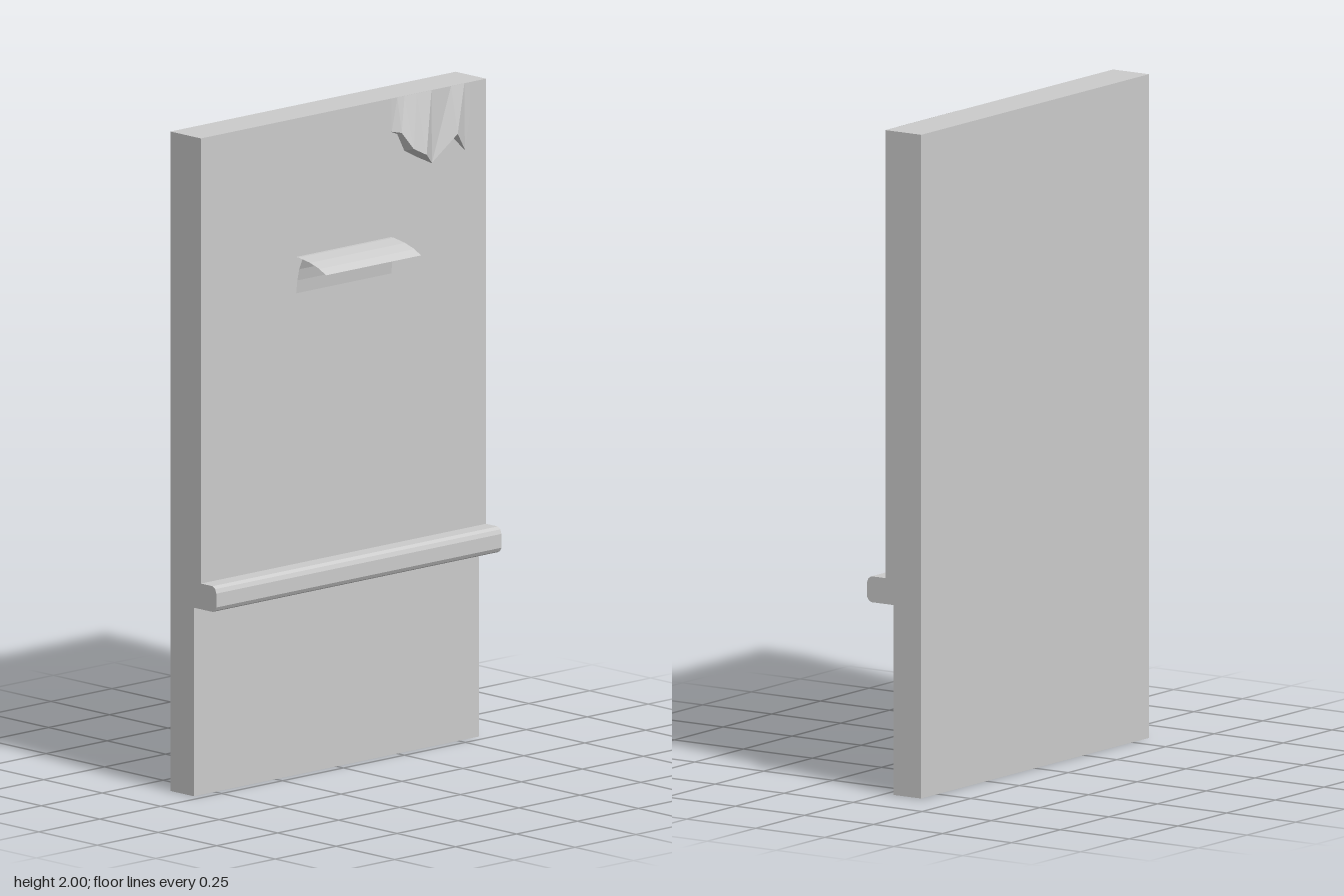
import * as THREE from 'three';

const WIDTH = 1.17;
const solid = new THREE.MeshStandardMaterial({ color: 0xcccccc, flatShading: true });
const sheet = new THREE.MeshStandardMaterial({ color: 0xcccccc, flatShading: true, side: THREE.DoubleSide });

// Extrude a side profile of [z, y] points across x
function slab(name, profile) {
  const shape = new THREE.Shape(profile.map(([z, y]) => new THREE.Vector2(z, y)));
  const geo = new THREE.ExtrudeGeometry(shape, { depth: WIDTH, bevelEnabled: false });
  geo.translate(0, 0, -WIDTH / 2).rotateY(-Math.PI / 2);
  const mesh = new THREE.Mesh(geo, solid);
  mesh.name = name;
  return mesh;
}

// Thin surface through rows of [x, y, z] points of equal length
function loft(name, rows) {
  const n = rows[0].length;
  const index = [];
  for (let r = 0; r < rows.length - 1; r++) {
    for (let i = 0; i < n - 1; i++) {
      const a = r * n + i, b = a + n;
      index.push(a, b, a + 1, a + 1, b, b + 1);
    }
  }
  const geo = new THREE.BufferGeometry();
  geo.setAttribute('position', new THREE.Float32BufferAttribute(rows.flat(2), 3));
  geo.setIndex(index);
  geo.computeVertexNormals();
  const mesh = new THREE.Mesh(geo, sheet);
  mesh.name = name;
  return mesh;
}

// Sheet of constant section between the two ends of the hook
const band = (name, profile) =>
  loft(name, profile.map(([z, y]) => [[-0.195, y, z], [0.195, y, z]]));

export function createModel() {
  const model = new THREE.Group();
  model.name = 'wallPanel';

  // Panel: thicker above the ledge, set back below it
  model.add(slab('panel', [
    [-0.13, 0], [-0.03, 0], [-0.03, 0.572], [0, 0.572], [0, 2], [-0.13, 2],
  ]));

  // Ledge with softened front edges
  model.add(slab('ledge', [
    [0, 0.572], [0.05, 0.572], [0.06, 0.577], [0.066, 0.588],
    [0.066, 0.63], [0.061, 0.643], [0.05, 0.65], [0, 0.65],
  ]));

  // Hook: a thin lip curling out over a shallow fillet
  const hook = new THREE.Group();
  hook.name = 'hook';
  hook.add(
    band('hookLip', [[0, 1.58], [0.012, 1.58], [0.06, 1.572], [0.1, 1.56], [0.128, 1.545]]),
    band('hookFillet', [[0.001, 1.47], [0.006, 1.51], [0.014, 1.545], [0.028, 1.577]]),
  );
  model.add(hook);

  // Torn flap: flush along the top, lifted at its ragged lower edge
  const edge = [
    [0.195, 1.9, 0.003], [0.22, 1.895, 0.02], [0.25, 1.845, 0.04], [0.3, 1.82, 0.043],
    [0.36, 1.78, 0.003], [0.44, 1.86, 0.03], [0.495, 1.8, 0.003], [0.515, 1.9, 0.002],
  ];
  model.add(loft('tornFlap', [
    edge.map(([x]) => [x, 2, 0.001]),
    edge,
    edge.map(([x, y, z]) => [x, y - 0.3 * z, 0]),
  ]));

  return model;
}
